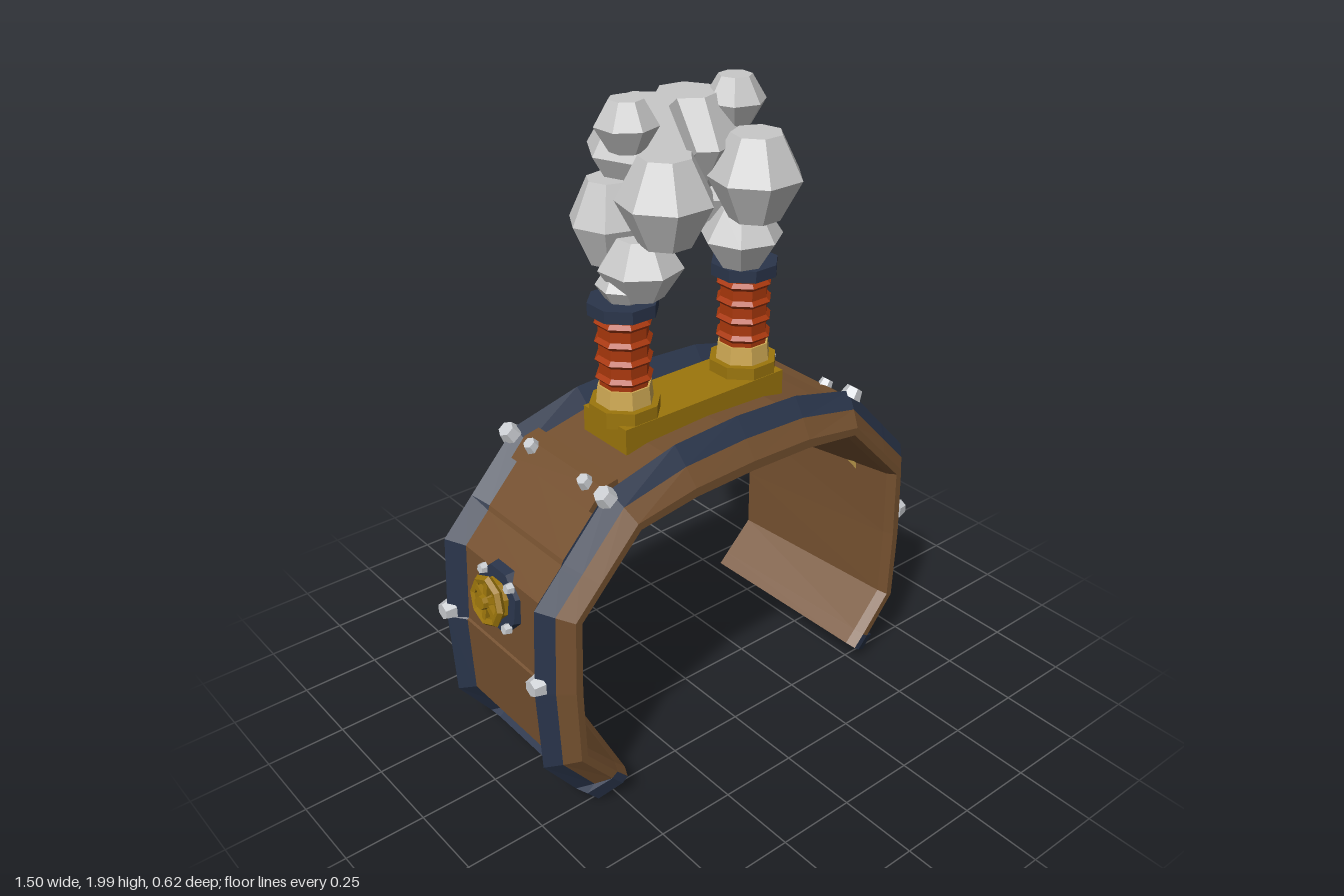
import * as THREE from 'three';

const mat = (name, color) => {
  const m = new THREE.MeshStandardMaterial({ color, flatShading: true });
  m.name = name;
  return m;
};

export function createModel() {
  const root = new THREE.Group();
  const brown = mat('brown leather', 0x74502f);
  const navy = mat('dark blue iron', 0x2a354b);
  const gold = mat('dark gold', 0x9c760c);
  const tan = mat('pale brass', 0xd0aa54);
  const rust = mat('orange copper', 0xaa380c);
  const smokeGrey = mat('smoke grey', 0xc8c8c8);
  const steel = mat('light steel', 0xc9ccd0);

  const add = (name, geo, material, x = 0, y = 0, z = 0, parent = root) => {
    const m = new THREE.Mesh(geo, material);
    m.name = name;
    m.position.set(x, y, z);
    parent.add(m);
    return m;
  };
  const cyl = (rTop, rBottom, h, n) => new THREE.CylinderGeometry(rTop, rBottom, h, n, 1, false, Math.PI / n);

  // Arch stations from foot to crown: outer point, inner point, depth of the middle strip and of the rim's edge
  const half = [
    [0.57, 0.01, 0.40, 0.15, 0.01, 0.05], [0.61, 0.055, 0.432, 0.182, 0.01, 0.05],
    [0.612, 0.057, 0.432, 0.182, 0.2, 0.21], [0.72, 0.20, 0.53, 0.28, 0.2, 0.21],
    [0.734, 0.475, 0.53, 0.475, 0.2, 0.21], [0.734, 0.48, 0.53, 0.48, 0.38, 0.21],
    [0.72, 0.75, 0.53, 0.67, 0.37, 0.21], [0.629, 0.848, 0.474, 0.726, 0.36, 0.21],
    [0.618, 0.86, 0.467, 0.733, 0.2, 0.21], [0.46, 1.03, 0.37, 0.83, 0.2, 0.21],
    [0.23, 1.088, 0.20, 0.83, 0.2, 0.21], [0, 1.10, 0, 0.83, 0.2, 0.21],
  ];
  // The window recess is on the left side only
  const mirrored = half.slice(0, -1).reverse().map(([a, b, c, d, strip, edge]) => [-a, b, -c, d, Math.min(strip, 0.23), edge]);
  const path = [...half, ...mirrored];

  // Cross-section: z, depth from outer (0) to inner (1); the opening narrows toward the back
  const section = [
    [0.185, 'strip'], [0.23, 0], [0.272, 'edge'], [0.31, 0.42], [0.31, 0.53], [0.28, 0.6],
    [-0.285, 1], [-0.31, 0.55], [-0.31, 0.42], [-0.272, 'edge'], [-0.23, 0], [-0.185, 'strip'],
  ];
  const n = section.length;
  const at = (i, j) => {
    const [ox, oy, ix, iy, strip, edge] = path[i], [z, depth] = section[j % n];
    const t = depth === 'strip' ? strip : depth === 'edge' ? edge : depth;
    return [ox + (ix - ox) * t, oy + (iy - oy) * t, z];
  };
  const leather = [], iron = [];
  const last = path.length - 1;
  for (let i = 0; i < last; i++) {
    for (let j = 0; j < n; j++) {
      const rim = j < 2 || j === 9 || j === 10;
      const foot = (i < 2 || i > last - 3) && (j < 4 || j > 6);
      const a = at(i, j), b = at(i + 1, j), c = at(i + 1, j + 1), d = at(i, j + 1);
      (rim || foot ? iron : leather).push(...a, ...b, ...c, ...a, ...c, ...d);
    }
  }
  // Foot end caps
  for (const i of [0, last]) {
    const [ox, oy, ix, iy] = path[i];
    const mid = [(ox + ix) / 2, (oy + iy) / 2, 0];
    for (let j = 0; j < n; j++) {
      const a = at(i, j), b = at(i, j + 1);
      iron.push(...mid, ...(i ? [...b, ...a] : [...a, ...b]));
    }
  }
  const soup = (v) => {
    const g = new THREE.BufferGeometry();
    g.setAttribute('position', new THREE.Float32BufferAttribute(v, 3));
    g.computeVertexNormals();
    return g;
  };
  add('archBody', soup(leather), brown);
  add('archRims', soup(iron), navy);

  // Bent plates: an x-y outline extruded across z
  const plate = (name, pts, z0, z1, material) => {
    const shape = new THREE.Shape(pts.map(([x, y]) => new THREE.Vector2(x, y)));
    add(name, new THREE.ExtrudeGeometry(shape, { depth: z1 - z0, bevelEnabled: false }), material, 0, 0, z0);
  };
  for (const s of [1, -1]) {
    const strap = [[0.39, 0.96], [0.40, 1.025], [0.45, 1.015], [0.50, 0.96], [0.47, 0.93]];
    plate('shoulderStrap', strap.map(([x, y]) => [x * s, y]), -0.19, 0.19, brown);
  }

  // Barred window in the left side
  plate('windowPane', [[0.64, 0.482], [0.664, 0.482], [0.657, 0.724], [0.581, 0.808], [0.56, 0.79]], -0.165, 0.16, tan);
  for (const z of [-0.058, 0.055])
    plate('windowBar', [[0.65, 0.482], [0.675, 0.482], [0.668, 0.73], [0.59, 0.82], [0.57, 0.8]], z - 0.019, z + 0.019, navy);
  plate('windowCrossbar', [[0.65, 0.642], [0.68, 0.642], [0.68, 0.68], [0.65, 0.68]], -0.175, 0.165, navy);

  // Bolts pointing outward from the arch
  const bolt = (x, y, z, nx, ny, r = 0.034, h = 0.034) => {
    const b = add('bolt', cyl(r * 0.75, r, h, 6), steel, x, y, z);
    b.quaternion.setFromUnitVectors(new THREE.Vector3(0, 1, 0), new THREE.Vector3(nx, ny, 0).normalize());
  };
  for (const s of [1, -1]) {
    for (const z of [-0.235, 0.23]) {
      bolt(s * 0.73, 0.50, z, s, 0);
      bolt(s * 0.475, 1.018, z, s * 0.6, 0.8);
    }
    for (const z of [-0.135, 0.125]) bolt(s * 0.463, 1.01, z, s * 0.55, 0.8, 0.025);
  }

  // Valve on the right side, leaning with the wall
  const valve = new THREE.Group();
  valve.name = 'valve';
  valve.position.set(-0.672, 0.655, 0);
  valve.rotation.z = Math.PI / 2 - 0.12;
  root.add(valve);
  add('valvePlate', cyl(0.10, 0.113, 0.05, 8), navy, 0, 0, 0, valve);
  add('valveDisc', cyl(0.06, 0.066, 0.03, 8), gold, 0, 0.035, 0, valve);
  add('valveHub', cyl(0.02, 0.028, 0.05, 8), gold, 0, 0.055, 0, valve);
  add('valveWheel', new THREE.TorusGeometry(0.066, 0.014, 5, 8), gold, 0, 0.055, 0, valve).rotation.x = Math.PI / 2;
  for (let k = 0; k < 3; k++)
    add('valveSpoke', new THREE.BoxGeometry(0.125, 0.016, 0.018), gold, 0, 0.057, 0, valve).rotation.y = k * Math.PI / 3;
  for (const [x, z] of [[0.066, 0.066], [0.066, -0.066], [-0.066, 0.066], [-0.066, -0.066]])
    add('valveBolt', cyl(0.014, 0.018, 0.02, 6), steel, x, 0.032, z, valve);

  // Chimney base and chimneys
  add('chimneyBase', new THREE.BoxGeometry(0.6, 0.08, 0.2), gold, 0, 1.062, 0);
  const bellows = [[0, 1.18], [0.072, 1.18]];
  for (let k = 0; k < 4; k++) {
    const y = 1.19 + k * 0.056;
    bellows.push([0.074, y], [0.074, y + 0.018], [0.086, y + 0.03], [0.074, y + 0.042]);
  }
  bellows.push([0.074, 1.42], [0, 1.42]);
  const lathe = (pts, seg) => new THREE.LatheGeometry(pts.map(([r, y]) => new THREE.Vector2(r, y)), seg, Math.PI / seg);

  // Smoke puffs: x, y, z, radius, half height
  const puffs = [
    [0.215, 1.49, 0.0, 0.085, 0.06], [0.185, 1.545, 0.03, 0.122, 0.087], [0.2, 1.65, -0.085, 0.118, 0.12],
    [0.16, 1.75, 0.112, 0.138, 0.122], [0.19, 1.93, -0.015, 0.09, 0.07], [0.075, 1.83, -0.085, 0.168, 0.13],
  ];
  const puffShape = lathe([[0, -1], [0.54, -1], [1, 0], [0.54, 1], [0, 1]], 7);
  for (const s of [1, -1]) {
    const x = s * 0.225;
    add('chimneyNut', cyl(0.106, 0.106, 0.05, 8), gold, x, 1.115, 0);
    add('chimneyCollar', cyl(0.08, 0.086, 0.06, 8), tan, x, 1.165, 0);
    add('chimneyBellows', lathe(bellows, 8), rust, x, 0, 0);
    add('chimneyRim', cyl(0.103, 0.103, 0.037, 8), navy, x, 1.432, 0);
    puffs.forEach(([px, py, pz, r, h], k) => {
      const p = add('smokePuff', puffShape, smokeGrey, s * px, py, pz);
      p.scale.set(r, h, r);
      p.rotation.y = s * k * 0.6;
    });
  }
  return root;
}
